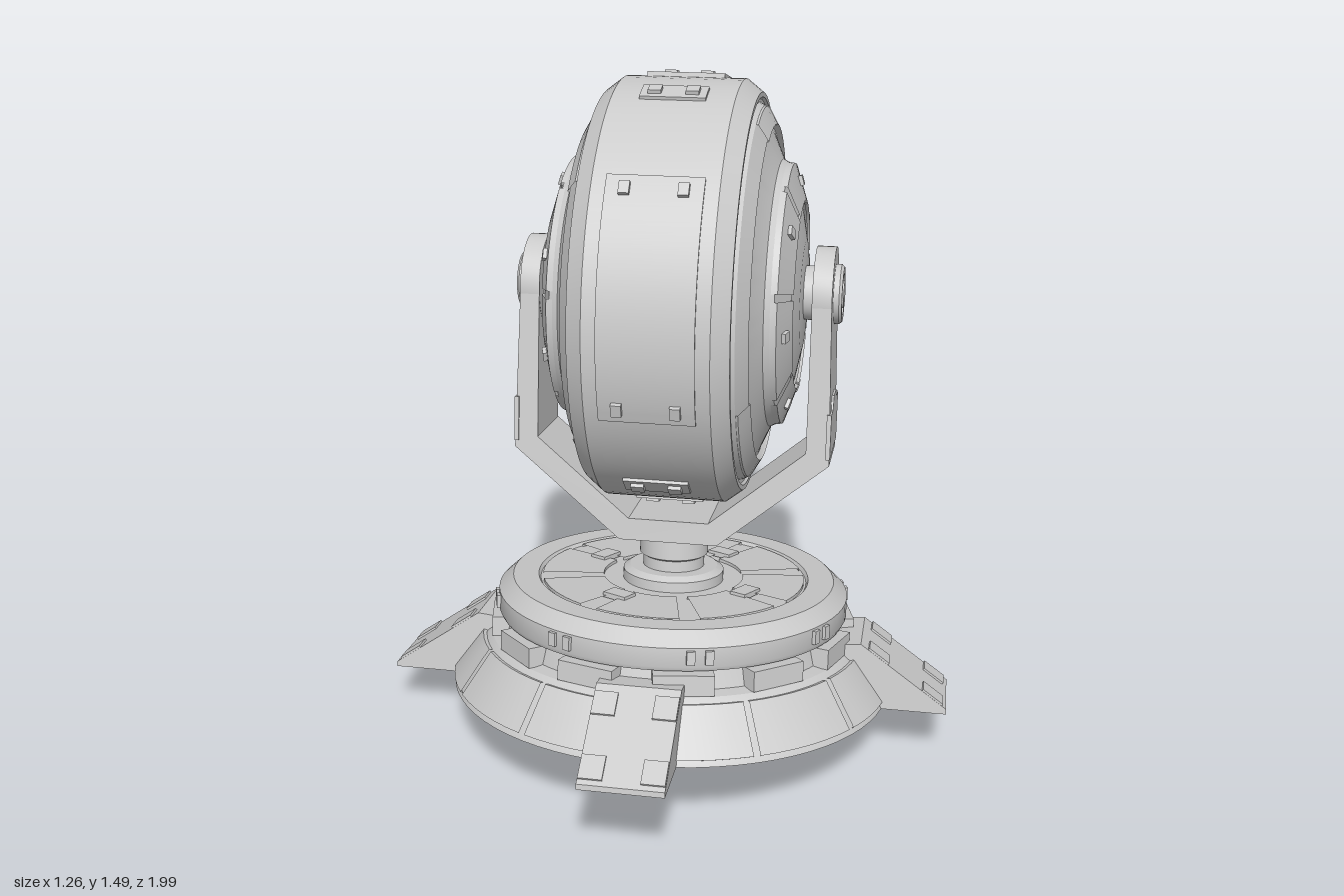
import * as THREE from 'three';
import { toCreasedNormals } from 'three/addons/utils/BufferGeometryUtils.js';

const { PI } = Math;
const rad = THREE.MathUtils.degToRad;
const grey = new THREE.MeshStandardMaterial({ color: 0xcccccc, side: THREE.DoubleSide });

function add(parent, name, geometry) {
  const mesh = new THREE.Mesh(toCreasedNormals(geometry, 0.5), grey);
  mesh.name = name;
  parent.add(mesh);
  return mesh;
}

function lathe(points, segments = 64, start = 0, sweep = PI * 2) {
  return new THREE.LatheGeometry(points.map(([r, y]) => new THREE.Vector2(r, y)), segments, start, sweep);
}

function extrude(shape, depth, curveSegments = 32) {
  const g = new THREE.ExtrudeGeometry(shape, { depth, bevelEnabled: false, curveSegments });
  return g.translate(0, 0, -depth / 2);
}

const polygon = (pts) => new THREE.Shape(pts.map(([x, y]) => new THREE.Vector2(x, y)));

// Curved plate around the x axis; angles run from +z (0) up to +y (90).
function arcPlate(r0, r1, a0, a1, width) {
  const s = new THREE.Shape();
  s.absarc(0, 0, r1, rad(a0), rad(a1), false);
  s.absarc(0, 0, r0, rad(a1), rad(a0), true);
  return extrude(s, width, 24).rotateY(-PI / 2);
}

// Small box lying on the drum rim.
function rimBox(parent, name, angle, x, w, h, l, r = 0.466) {
  const a = rad(angle);
  const m = add(parent, name, new THREE.BoxGeometry(w, l, h));
  m.position.set(x, Math.sin(a) * r, Math.cos(a) * r);
  m.rotation.x = -a;
}

function buildBase() {
  const base = new THREE.Group();
  base.name = 'base';
  add(base, 'skirt', lathe([[0, 0.16], [0.365, 0.16], [0.365, 0.11], [0.41, 0.1], [0.485, 0], [0.5, 0], [0.495, 0.012], [0.43, 0.105],
    [0.415, 0.118], [0.385, 0.122], [0.375, 0.165], [0.395, 0.168], [0.4, 0.178], [0.4, 0.22],
    [0.368, 0.25], [0.31, 0.25], [0.305, 0.242], [0.115, 0.242], [0.115, 0.265], [0.1, 0.275], [0, 0.275]], 72));
  add(base, 'post', lathe([[0.07, 0.26], [0.07, 0.3], [0.078, 0.305], [0.078, 0.37]], 40));

  // Raised skirt panels and blocks in the recess
  for (let i = 0; i < 12; i++) {
    const start = i * PI / 6 + 0.015;
    add(base, 'skirtPanel', lathe([[0.496, 0.013], [0.502, 0.016], [0.436, 0.11], [0.428, 0.108]], 6, start, PI / 6 - 0.03));
    const pivot = new THREE.Group();
    pivot.name = 'recessBlockPivot';
    pivot.rotation.y = start + 0.2;
    base.add(pivot);
    add(pivot, 'recessBlock', new THREE.BoxGeometry(0.13, 0.045, 0.05)).position.set(0, 0.142, 0.388);
  }
  // Rim latches and deck plates
  for (let i = 0; i < 8; i++) {
    const pivot = new THREE.Group();
    pivot.name = 'latchPivot';
    pivot.rotation.y = i * PI / 4 + 0.3;
    base.add(pivot);
    for (const x of [-0.02, 0.02])
      add(pivot, 'rimLatch', new THREE.BoxGeometry(0.018, 0.03, 0.014)).position.set(x, 0.2, 0.4);
    if (i % 2) add(pivot, 'deckPlate', new THREE.BoxGeometry(0.06, 0.012, 0.04)).position.set(0, 0.25, 0.2);
    add(pivot, 'deckSector', lathe([[0.3, 0.242], [0.3, 0.249], [0.16, 0.249], [0.16, 0.242]], 8, 0.05, PI / 4 - 0.15));
  }

  // Four feet with thick roofs, open underneath
  const side = polygon([[0.632, 0], [0.632, 0.008], [0.44, 0.14], [0.275, 0.13], [0.275, 0]]);
  const top = polygon([[0.635, 0], [0.635, 0.012], [0.44, 0.148], [0.275, 0.132], [0.275, 0.08], [0.44, 0.09], [0.58, 0]]);
  for (let i = 0; i < 4; i++) {
    const foot = new THREE.Group();
    foot.name = 'foot';
    foot.rotation.y = i * PI / 2;
    base.add(foot);
    for (const s of [-1, 1]) add(foot, 'footSide', extrude(side, 0.014)).position.z = s * 0.083;
    add(foot, 'footTop', extrude(top, 0.18));
    // Corner pads on the sloping face
    for (const s of [-1, 1]) for (const [r, y] of [[0.603, 0.035], [0.48, 0.121]]) {
      const pad = add(foot, 'footPad', new THREE.BoxGeometry(0.055, 0.008, 0.05));
      pad.position.set(r, y, s * 0.064);
      pad.rotation.z = -0.61;
    }
  }
  return base;
}

function buildYoke() {
  const yoke = new THREE.Group();
  yoke.name = 'yoke';
  const half = [[0.11, 0.355], [0.352, 0.555], [0.342, 0.93], [0.3, 0.93], [0.3, 0.58], [0.09, 0.405]];
  const mirrored = half.map(([x, y]) => [-x, y]).reverse();
  add(yoke, 'yokeFrame', extrude(polygon([...half, ...mirrored]), 0.205));
  for (const s of [-1, 1]) {
    const arm = new THREE.Group();
    arm.name = 'yokeArm';
    arm.position.set(s * 0.321, 0.92, 0);
    arm.rotation.z = -s * PI / 2;
    yoke.add(arm);
    add(arm, 'armHead', new THREE.CylinderGeometry(0.104, 0.104, 0.043, 40));
    add(arm, 'pivotBoss', lathe([[0.066, 0], [0.066, 0.034], [0.06, 0.04], [0.046, 0.04], [0.044, 0.034],
      [0.032, 0.034], [0.03, 0.042], [0, 0.042]], 40));
    add(arm, 'pivotPin', new THREE.CylinderGeometry(0.06, 0.06, 0.1, 32)).position.y = -0.05;
    // Stepped lower arm plate
    const plate = polygon([[-0.107, 0.57], [0.107, 0.57], [0.107, 0.68], [0.05, 0.68], [0.03, 0.7], [-0.04, 0.7], [-0.06, 0.67], [-0.107, 0.67]]);
    add(yoke, 'armPlate', extrude(plate, 0.01).rotateY(PI / 2)).position.x = s * 0.348;
    const brace = add(yoke, 'bracePlate', new THREE.BoxGeometry(0.17, 0.008, 0.1));
    brace.position.set(s * 0.231, 0.455, 0);
    brace.rotation.z = s * 0.69;
  }
  return yoke;
}

function buildGun() {
  const gun = new THREE.Group();
  gun.name = 'gun';
  // Drum with bevelled rim and stepped domed sides
  const profile = [[0.466, 0.13], [0.438, 0.166], [0.427, 0.166], [0.423, 0.16], [0.416, 0.16],
    [0.41, 0.172], [0.368, 0.195], [0.362, 0.188], [0.354, 0.19], [0.295, 0.216],
    [0.285, 0.236], [0.2, 0.264], [0.195, 0.26], [0.12, 0.275], [0, 0.28]];
  const full = [...profile.map(([r, y]) => [r, -y]).reverse(), ...profile];
  add(gun, 'drum', lathe(full, 96).rotateZ(-PI / 2));

  for (const s of [-1, 1]) {
    const cheek = new THREE.Group();
    cheek.name = 'cheek';
    cheek.rotation.z = -s * PI / 2;
    gun.add(cheek);
    // Raised dome panels with small bolts
    for (let i = 0; i < 7; i++) {
      const a = i * PI * 2 / 7;
      add(cheek, 'domePanel', lathe([[0.289, 0.228], [0.287, 0.242], [0.208, 0.269], [0.203, 0.26]], 10, a, 0.84));
      const pivot = new THREE.Group();
      pivot.name = 'boltPivot';
      pivot.rotation.y = a + 0.3;
      cheek.add(pivot);
      const bolt = add(pivot, 'domeBolt', new THREE.BoxGeometry(0.022, 0.014, 0.022));
      bolt.position.set(0, 0.256, 0.25);
      bolt.rotation.x = 0.3;
    }
    add(cheek, 'bevelPanel', lathe([[0.41, 0.17], [0.408, 0.177], [0.37, 0.199], [0.367, 0.192]], 48, 0.6, 4.6));
  }

  // Rim plates, latches and bolts
  add(gun, 'frontPlate', arcPlate(0.44, 0.47, -32, 32, 0.2));
  for (const a of [-28, 28]) for (const x of [-0.06, 0.06]) rimBox(gun, 'plateBolt', a, x, 0.022, 0.016, 0.028, 0.472);
  for (const [a, w, l] of [[-60, 0.14, 0.055], [-88, 0.15, 0.055], [64, 0.14, 0.06], [91, 0.17, 0.12]]) {
    rimBox(gun, 'rimPlate', a, 0, w, 0.012, l);
    for (const x of [-0.04, 0.04]) rimBox(gun, 'rimLatch', a, x, 0.028, 0.024, 0.03, 0.468);
  }
  add(gun, 'rearPlateUpper', arcPlate(0.44, 0.474, 112, 158, 0.25));
  add(gun, 'rearPlateLower', arcPlate(0.44, 0.474, 202, 248, 0.25));
  for (const a of [132, 142, 218, 228]) for (const x of [-0.05, 0.05]) rimBox(gun, 'rearBolt', a, x, 0.03, 0.016, 0.03, 0.476);
  add(gun, 'barrelMount', new THREE.BoxGeometry(0.2, 0.32, 0.07)).position.set(0, -0.005, -0.422);

  // Twin hollow barrels pointing to the rear
  const tube = [[0.074, 0.4], [0.074, 1.125], [0.07, 1.132], [0.066, 1.134], [0.066, 1.15], [0.078, 1.154],
    [0.08, 1.16], [0.08, 1.185], [0.077, 1.19], [0.077, 1.225], [0.08, 1.23], [0.08, 1.258], [0.075, 1.264],
    [0.058, 1.264], [0.056, 1.255], [0.056, 0.95], [0, 0.95]];
  for (const s of [-1, 1]) {
    const barrel = new THREE.Group();
    barrel.name = 'barrel';
    barrel.position.y = s * 0.088 - 0.006;
    barrel.rotation.x = -PI / 2;
    gun.add(barrel);
    add(barrel, 'barrelTube', lathe(tube, 40));
    // Sleeve plates along the outer side and a collar near the muzzle
    for (let i = 0; i < 5; i++) {
      const y = 0.48 + i * 0.1;
      add(barrel, 'barrelSleeve', lathe([[0.074, y], [0.076, y + 0.002], [0.076, y + 0.096], [0.074, y + 0.098]], 12, s > 0 ? -PI * 0.25 : PI * 0.75, PI * 0.5));
    }
    add(barrel, 'barrelCollar', lathe([[0.074, 1.0], [0.077, 1.003], [0.077, 1.118], [0.074, 1.122]], 40));
  }
  return gun;
}

export function createModel() {
  const model = new THREE.Group();
  model.name = 'turret';
  // Whole turret stands turned and tilted
  const turret = new THREE.Group();
  turret.name = 'tiltedTurret';
  turret.rotation.set(rad(-10.8), rad(-18.4), rad(0.6), 'YXZ');
  turret.position.set(0, 0.13, 0.376);
  const gun = buildGun();
  gun.position.y = 0.915;
  gun.rotation.x = rad(-5.3);
  turret.add(buildBase(), buildYoke(), gun);
  model.add(turret);

  // Centre on the ground
  model.updateMatrixWorld(true);
  const box = new THREE.Box3().setFromObject(model, true);
  const c = box.getCenter(new THREE.Vector3());
  turret.position.x -= c.x;
  turret.position.y -= box.min.y;
  turret.position.z -= c.z;
  return model;
}
